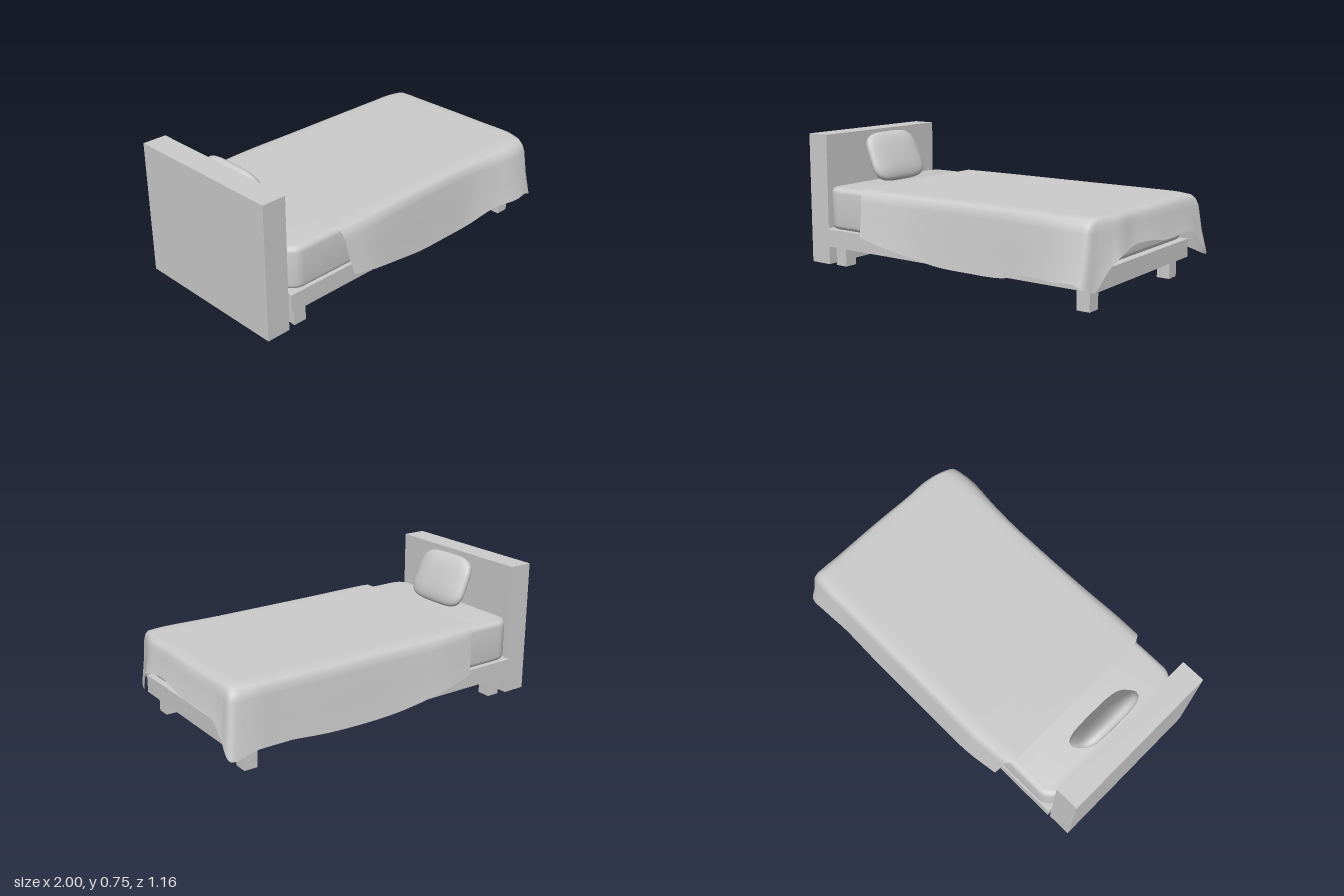
import * as THREE from 'three';
import { mergeVertices, toCreasedNormals } from 'three/addons/utils/BufferGeometryUtils.js';

const MID_Z = -0.02; // centre line of the bed

export function createModel() {
  const bed = new THREE.Group();
  bed.name = 'bed';
  const material = new THREE.MeshStandardMaterial({ color: 0xcccccc });
  const clothMaterial = new THREE.MeshStandardMaterial({ color: 0xcccccc, side: THREE.DoubleSide });

  function add(name, geometry, mat = material) {
    const mesh = new THREE.Mesh(geometry, mat);
    mesh.name = name;
    bed.add(mesh);
    return mesh;
  }
  function box(name, x0, x1, y0, y1, z0, z1) {
    add(name, new THREE.BoxGeometry(x1 - x0, y1 - y0, z1 - z0))
      .position.set((x0 + x1) / 2, (y0 + y1) / 2, (z0 + z1) / 2);
  }

  // Headboard, base and four legs
  box('headboard', -1, -0.865, 0, 0.745, -0.484, 0.443);
  box('base', -0.863, 0.915, 0.11, 0.21, -0.506, 0.465);
  for (const x of [-0.82, 0.79])
    for (const z of [0.353, -0.472]) box('leg', x, x + 0.075, 0, 0.11, z, z + 0.078);

  add('mattress', mattressGeometry(-0.863, 0.9, 0.213, 0.45, 0.483)).position.z = MID_Z;

  // Pillow leaning against the headboard
  const pillow = add('pillow', pillowGeometry(0.047, 0.15, 0.207));
  pillow.position.set(-0.767, 0.592, MID_Z);
  pillow.rotation.z = 0.42;

  add('blanket', blanketGeometry(), clothMaterial);
  return bed;
}

// Rounded rectangle extruded upwards with soft edges
function mattressGeometry(x0, x1, y0, y1, halfZ) {
  const b = 0.03, r = 0.06;
  const l = x0 + b, e = x1 - b, h = halfZ - b;
  const s = new THREE.Shape();
  s.moveTo(l + r, -h);
  s.lineTo(e - r, -h);
  s.absarc(e - r, -h + r, r, -Math.PI / 2, 0);
  s.lineTo(e, h - r);
  s.absarc(e - r, h - r, r, 0, Math.PI / 2);
  s.lineTo(l + r, h);
  s.absarc(l + r, h - r, r, Math.PI / 2, Math.PI);
  s.lineTo(l, -h + r);
  s.absarc(l + r, -h + r, r, Math.PI, Math.PI * 1.5);
  const g = new THREE.ExtrudeGeometry(s, {
    depth: y1 - y0 - 2 * b, bevelSize: b, bevelThickness: b, bevelSegments: 5, curveSegments: 8,
  });
  g.rotateX(-Math.PI / 2);
  g.translate(0, y0 + b, 0);
  return toCreasedNormals(g, 0.7);
}

// Sphere pushed out to a cushion with a rounded-square outline
function pillowGeometry(halfX, halfY, halfZ) {
  let g = new THREE.SphereGeometry(1, 48, 32);
  g.deleteAttribute('uv');
  g.deleteAttribute('normal');
  const p = g.attributes.position, v = new THREE.Vector3();
  for (let i = 0; i < p.count; i++) {
    v.fromBufferAttribute(p, i);
    const outline = (v.y ** 4 + v.z ** 4) ** (2.5 / 4);
    v.multiplyScalar((outline + Math.abs(v.x) ** 2.5) ** (-1 / 2.5));
    p.setXYZ(i, v.x * halfX, v.y * halfY, v.z * halfZ * (1 - 0.03 * v.y));
  }
  g = mergeVertices(g, 1e-5);
  g.computeVertexNormals();
  return g;
}

// Cloth lofted from the centre line over the mattress edge to a wavy hem
function blanketGeometry() {
  // edge x, edge z, hem x, hem y, hem z; left side, foot, right side
  const rows = [
    [-0.58, 0.45, -0.52, 0.215, 0.55], [-0.4, 0.45, -0.38, 0.185, 0.55],
    [-0.2, 0.45, -0.2, 0.15, 0.535], [0, 0.45, 0, 0.12, 0.525],
    [0.2, 0.45, 0.2, 0.115, 0.522], [0.4, 0.45, 0.4, 0.12, 0.525],
    [0.6, 0.45, 0.58, 0.16, 0.55], [0.75, 0.45, 0.76, 0.16, 0.578],
    [0.84, 0.445, 0.85, 0.165, 0.572], [0.89, 0.43, 0.9, 0.14, 0.56],
    [0.91, 0.4, 0.925, 0.12, 0.49], [0.92, 0.35, 0.955, 0.215, 0.41],
    [0.92, 0.28, 0.98, 0.27, 0.34], [0.92, 0.17, 0.975, 0.305, 0.2],
    [0.92, 0, 0.985, 0.303, 0.04], [0.92, -0.15, 0.99, 0.283, -0.1],
    [0.92, -0.34, 0.99, 0.275, -0.4], [0.92, -0.42, 0.995, 0.21, -0.48],
    [0.905, -0.46, 0.995, 0.125, -0.57], [0.86, -0.49, 0.86, 0.15, -0.58],
    [0.7, -0.5, 0.7, 0.15, -0.572], [0.4, -0.5, 0.4, 0.125, -0.575],
    [0, -0.5, 0, 0.125, -0.575], [-0.3, -0.5, -0.3, 0.17, -0.58],
    [-0.58, -0.49, -0.51, 0.21, -0.56],
  ];
  const top = 0.466, steps = 144;
  const edge = new THREE.CatmullRomCurve3(rows.map(([x, z]) => new THREE.Vector3(x, top, z)));
  const hem = new THREE.CatmullRomCurve3(rows.map((r) => new THREE.Vector3(r[2], r[3], r[4])));
  const positions = [], index = [];
  let n = 0;
  for (let i = 0; i <= steps; i++) {
    const e = edge.getPoint(i / steps), h = hem.getPoint(i / steps);
    const spine = new THREE.Vector3(THREE.MathUtils.clamp(e.x, -0.58, 0.5), top, MID_Z);
    const at = (out, y) => {
      const p = e.clone().lerp(h, out);
      p.y = y;
      return p;
    };
    // Flat top, rounded shoulder, then the hanging side
    const section = [
      spine, spine.clone().lerp(e, 0.9), e, at(0.3, 0.457), at(0.48, 0.435), at(0.6, 0.4),
      at(0.76, THREE.MathUtils.lerp(0.4, h.y, 0.5)), h,
    ];
    n = section.length;
    section.forEach((p) => positions.push(p.x, p.y, p.z));
  }
  for (let i = 0; i < steps; i++)
    for (let j = 0; j < n - 1; j++) {
      const a = i * n + j, b = a + n;
      index.push(a, a + 1, b, a + 1, b + 1, b);
    }
  const g = new THREE.BufferGeometry();
  g.setAttribute('position', new THREE.Float32BufferAttribute(positions, 3));
  g.setIndex(index);
  g.computeVertexNormals();
  return g;
}
